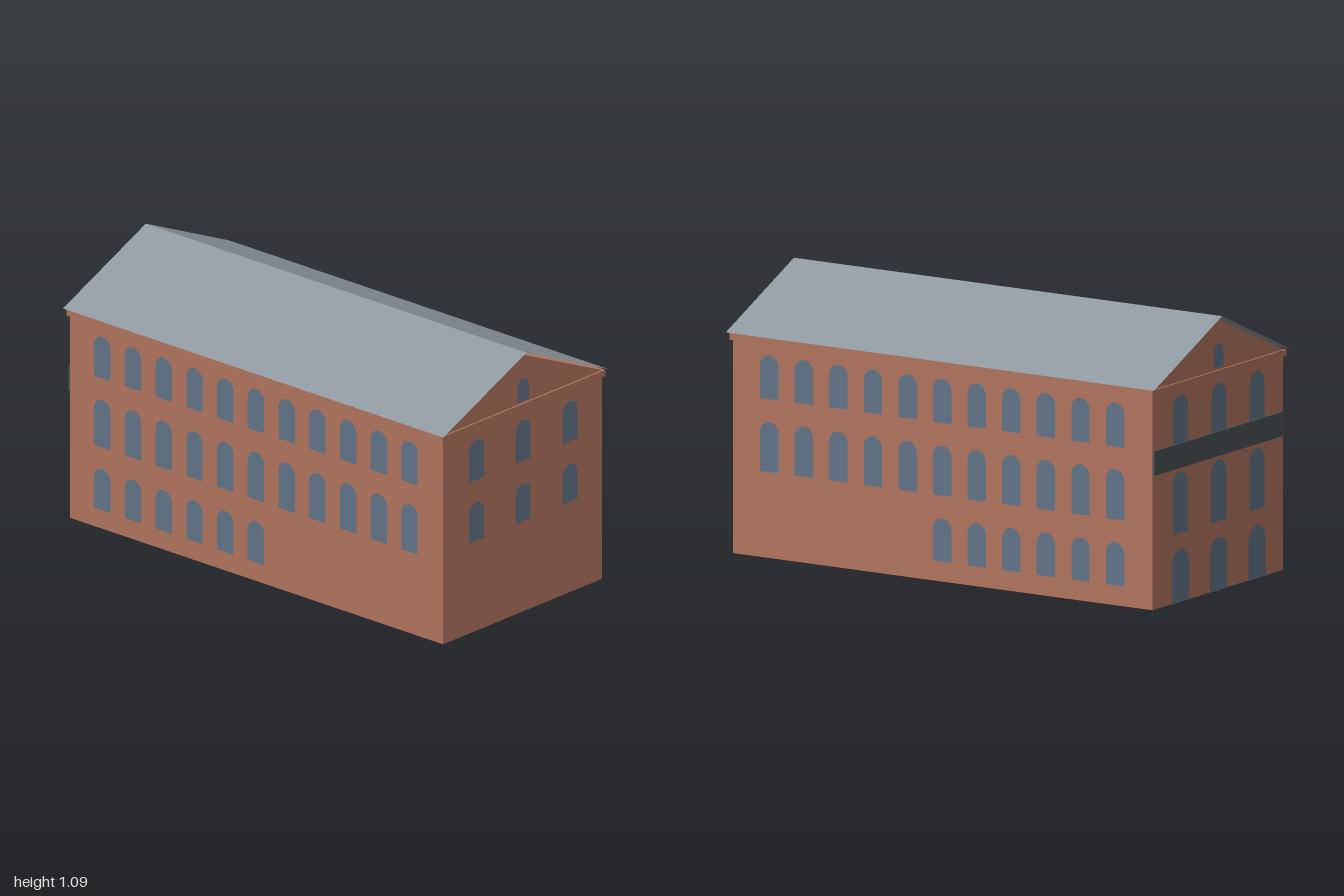
import * as THREE from 'three';

const mat = (name, color, side = THREE.FrontSide) => {
  const m = new THREE.MeshStandardMaterial({ color, side });
  m.name = name;
  return m;
};

export function createModel() {
  const brick = mat('brick', 0xb0745d, THREE.DoubleSide);
  const glass = mat('glass', 0x627487);
  const slate = mat('slate', 0x8f989e, THREE.DoubleSide);
  const dark = mat('darkMetal', 0x4b5256);

  const W = 0.46, D = 0.98;      // half width and half depth of the walls
  const EAVE = 0.877, APEX = 1.079;
  const model = new THREE.Group();
  model.name = 'building';

  const add = (parent, name, geometry, material, x = 0, y = 0, z = 0, ry = 0) => {
    const mesh = new THREE.Mesh(geometry, material);
    mesh.name = name;
    mesh.position.set(x, y, z);
    mesh.rotation.y = ry;
    parent.add(mesh);
    return mesh;
  };

  // Gabled end walls and long side walls; the bottom is open
  const gable = new THREE.ShapeGeometry(new THREE.Shape([
    [-W, 0], [W, 0], [W, EAVE], [0, APEX], [-W, EAVE],
  ].map(([x, y]) => new THREE.Vector2(x, y))));
  const sideWall = new THREE.PlaneGeometry(2 * D, EAVE);
  add(model, 'frontWall', gable, brick, 0, 0, D);
  add(model, 'backWall', gable, brick, 0, 0, -D, Math.PI);
  add(model, 'leftWall', sideWall, brick, W, EAVE / 2, 0, Math.PI / 2);
  add(model, 'rightWall', sideWall, brick, -W, EAVE / 2, 0, -Math.PI / 2);

  // Cornice below the eaves
  add(model, 'cornice', new THREE.BoxGeometry(0.942, 0.026, 1.976), brick, 0, 0.863, 0);

  // Thin roof slopes overhanging every wall
  const run = 0.48, low = 0.879, high = 1.092;
  const slope = Math.atan2(high - low, run);
  for (const s of [-1, 1]) {
    const sheet = new THREE.PlaneGeometry(Math.hypot(run, high - low), 2);
    sheet.rotateX(-Math.PI / 2);
    const roof = add(model, s > 0 ? 'leftRoof' : 'rightRoof', sheet, slate, s * run / 2, (low + high) / 2, 0);
    roof.rotation.z = -s * slope;
  }

  // Round-headed window outline, centred on x
  const arch = (w, bottom, top) => {
    const r = w / 2, shape = new THREE.Shape();
    shape.moveTo(-r, bottom);
    shape.lineTo(r, bottom);
    shape.lineTo(r, top - r);
    shape.absarc(0, top - r, r, 0, Math.PI, false);
    return new THREE.ShapeGeometry(shape, 12);
  };

  // Windows of one wall: each row is [width, bottom, top, positions]
  const facade = (name, x, z, ry, rows) => {
    const group = new THREE.Group();
    group.name = name;
    group.position.set(x, 0, z);
    group.rotation.y = ry;
    for (const [w, bottom, top, spots] of rows) {
      const geometry = arch(w, bottom, top);
      for (const u of spots) add(group, 'window', geometry, glass, u);
    }
    model.add(group);
  };

  const gap = 0.004, three = [-0.27, 0, 0.27];
  facade('frontWindows', 0, D + gap, 0, [
    [0.087, 0.381, 0.54, three],
    [0.087, 0.635, 0.805, three],
    [0.069, 0.886, 0.981, [0]],
  ]);
  facade('backWindows', 0, -D - gap, Math.PI, [
    [0.12, 0.0, 0.212, three],
    [0.107, 0.275, 0.52, three],
    [0.104, 0.62, 0.825, three],
    [0.069, 0.886, 0.981, [0]],
  ]);

  // Eleven bays per side; the lowest row fills only the rear six
  const bays = Array.from({ length: 11 }, (_, i) => (i - 5) * 0.1615);
  for (const s of [-1, 1]) {
    const rear = bays.filter((u) => u * s > -0.01);
    facade(s > 0 ? 'leftWindows' : 'rightWindows', s * (W + gap), 0, s * Math.PI / 2, [
      [0.086, 0.08, 0.252, rear],
      [0.086, 0.343, 0.542, bays],
      [0.086, 0.633, 0.807, bays],
    ]);
  }

  // Dark band across the back wall
  add(model, 'backBand', new THREE.BoxGeometry(2 * W, 0.097, 0.009), dark, 0, 0.584, -D - 0.0045);

  return model;
}
